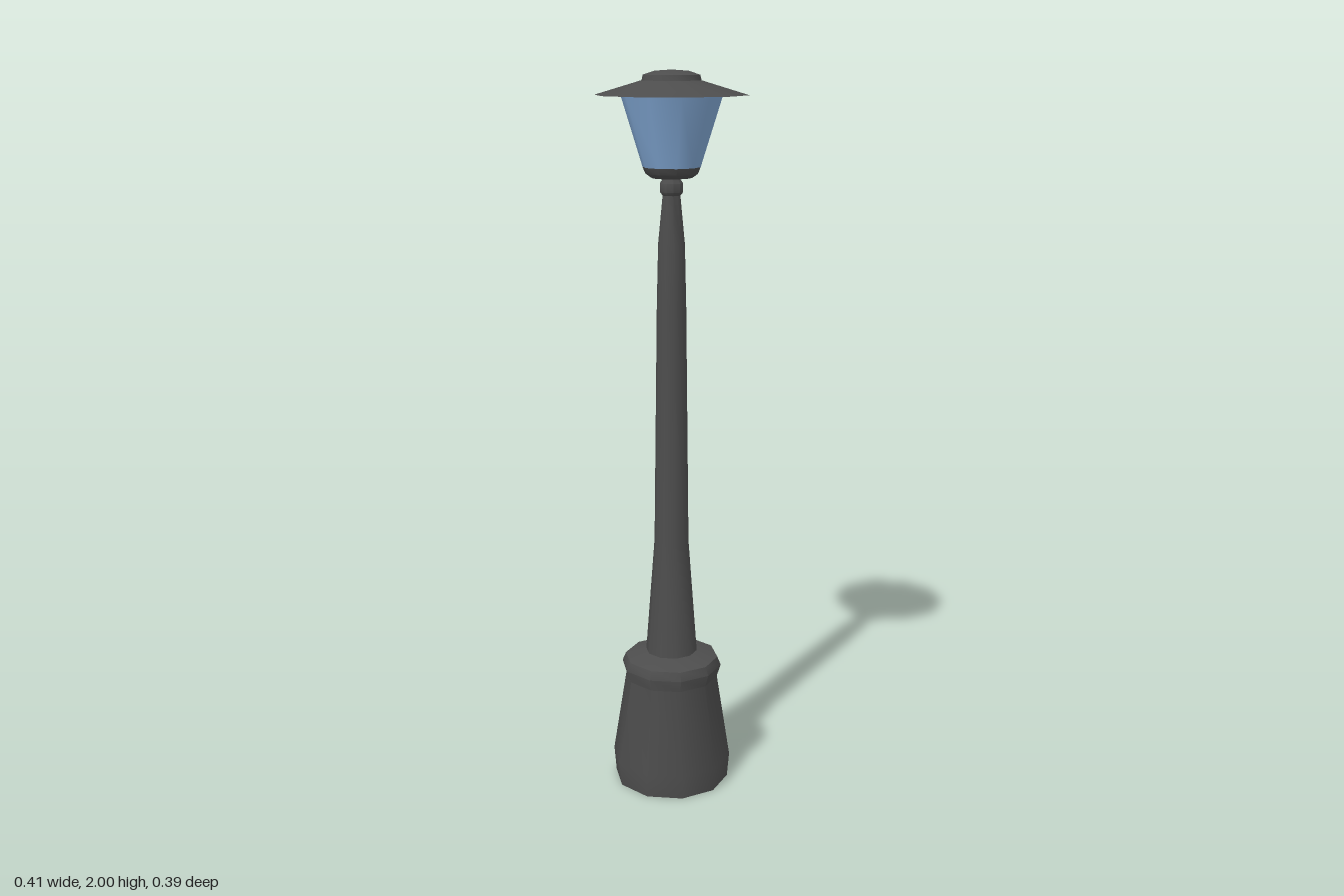
import * as THREE from 'three';
import { toCreasedNormals } from 'three/addons/utils/BufferGeometryUtils.js';

const SIDES = 10;

export function createModel() {
  const group = new THREE.Group();
  const iron = new THREE.MeshStandardMaterial({ name: 'dark iron', color: 0x4d4d4d });
  const glass = new THREE.MeshStandardMaterial({ name: 'blue glass', color: 0x80a6d2 });

  // Turned part: [radius, height] pairs listed from bottom to top, with a corner on +x
  function turned(name, material, profile) {
    const points = profile.map(([r, y]) => new THREE.Vector2(r, y));
    const lathe = new THREE.LatheGeometry(points, SIDES, Math.PI / 2);
    const mesh = new THREE.Mesh(toCreasedNormals(lathe, 0.72), material);
    mesh.name = name;
    group.add(mesh);
  }

  // Heavy pedestal with a rounded collar
  turned('pedestal', iron, [
    [0, 0], [0.163, 0], [0.169, 0.07], [0.131, 0.313],
    [0.142, 0.348], [0.132, 0.372], [0.07, 0.39], [0, 0.39],
  ]);

  // Tapering post
  turned('post', iron, [
    [0.073, 0.385], [0.048, 0.72], [0.04, 1.38],
    [0.036, 1.55], [0.023, 1.685], [0, 1.685],
  ]);

  // Small knob between post and lantern
  turned('knob', iron, [
    [0, 1.675], [0.024, 1.678], [0.031, 1.687], [0.031, 1.71], [0.022, 1.722], [0.022, 1.73],
  ]);

  // Shallow cup holding the glass
  turned('lanternCup', iron, [
    [0, 1.724], [0.055, 1.724], [0.07, 1.735], [0.077, 1.752], [0, 1.752],
  ]);

  // Flared glass
  turned('lanternGlass', glass, [[0.077, 1.752], [0.135, 1.938]]);

  // Wide sloping roof
  turned('roof', iron, [
    [0, 1.936], [0.203, 1.936], [0.079, 1.973],
  ]);

  // Cap on the roof
  turned('roofCap', iron, [
    [0.079, 1.971], [0.075, 1.987], [0.045, 1.997], [0, 2],
  ]);

  return group;
}
